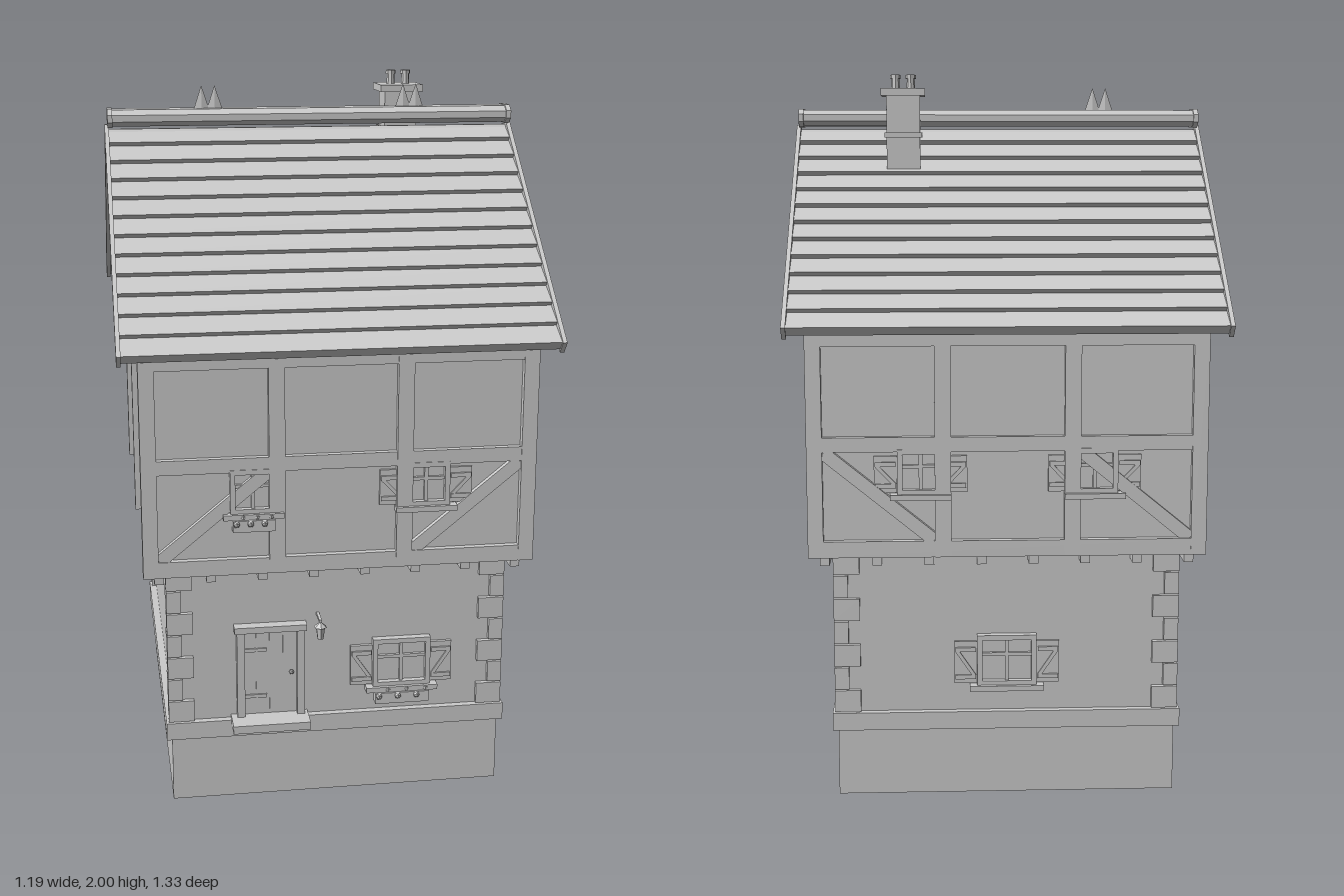
import * as THREE from 'three';

const grey = new THREE.MeshStandardMaterial({ color: 0xcccccc, flatShading: true });

function add(parent, name, geometry, x = 0, y = 0, z = 0) {
  const m = new THREE.Mesh(geometry, grey);
  m.name = name;
  m.position.set(x, y, z);
  parent.add(m);
  return m;
}

// Box given by its minimum and maximum on each axis
function span(parent, name, x0, x1, y0, y1, z0, z1) {
  return add(parent, name, new THREE.BoxGeometry(x1 - x0, y1 - y0, z1 - z0),
    (x0 + x1) / 2, (y0 + y1) / 2, (z0 + z1) / 2);
}

function group(parent, name) {
  const g = new THREE.Group();
  g.name = name;
  parent.add(g);
  return g;
}

// Extrudes a (z, y) profile along x, centred on x
function alongX(points, length) {
  const shape = new THREE.Shape(points.map(p => new THREE.Vector2(p[0], p[1])));
  const geo = new THREE.ExtrudeGeometry(shape, { depth: length, bevelEnabled: false });
  return geo.translate(0, 0, -length / 2).rotateY(-Math.PI / 2);
}

// Diagonal bar in the xy plane
function bar(parent, name, x0, y0, x1, y1, width, depth, z) {
  const m = add(parent, name, new THREE.BoxGeometry(Math.hypot(x1 - x0, y1 - y0), width, depth),
    (x0 + x1) / 2, (y0 + y1) / 2, z);
  m.rotation.z = Math.atan2(y1 - y0, x1 - x0);
  return m;
}

// Window centred on x, bottom at y, on a wall at z
function makeWindow(parent, x, y, w, h, z, { shutters = true, flowers = false } = {}) {
  const g = group(parent, 'window');
  g.position.set(x, y, z);
  const f = 0.014, a = w / 2;
  for (const s of [-1, 1]) {
    add(g, 'windowJamb', new THREE.BoxGeometry(f, h, 0.022), s * (a - f / 2), h / 2, 0.011);
    add(g, 'windowRail', new THREE.BoxGeometry(w, f, 0.022), 0, h / 2 + s * (h / 2 - f / 2), 0.011);
  }
  span(g, 'windowPane', -a + f, a - f, f, h - f, -0.005, 0.005);
  span(g, 'mullion', -0.005, 0.005, f, h - f, 0, 0.014);
  span(g, 'transom', -a + f, a - f, h * 0.58, h * 0.58 + 0.009, 0, 0.014);
  span(g, 'sill', -a - 0.02, a + 0.02, -0.013, 0.002, -0.005, 0.032);
  if (shutters) for (const s of [-1, 1]) {
    const c = s * (a + 0.032), b = h - 0.02;
    const sh = group(g, 'shutter');
    span(sh, 'shutterBoard', c - 0.031, c + 0.031, 0.005, b, 0, 0.01);
    for (const yy of [0.018, b - 0.028]) span(sh, 'shutterBatten', c - 0.028, c + 0.028, yy, yy + 0.012, 0.01, 0.016);
    bar(sh, 'shutterBrace', c - s * 0.024, 0.028, c + s * 0.024, b - 0.026, 0.01, 0.005, 0.012);
  }
  if (flowers) {
    const fb = group(g, 'flowerBox');
    span(fb, 'planter', -a + 0.005, a - 0.005, -0.046, -0.014, 0.006, 0.036);
    for (let i = 0; i < 6; i++) {
      const fx = (i - 2.5) * (w - 0.03) / 5;
      add(fb, 'flower', new THREE.IcosahedronGeometry(0.01, 0), fx, i % 2 ? -0.006 : -0.022, i % 2 ? 0.026 : 0.038);
    }
  }
}

// Timber framing and jetty joists of a long wall; d gives the slant of the braces
function makeFrame(parent, d) {
  const g = group(parent, 'timberFrame');
  span(g, 'bottomRail', -0.54, 0.54, 0.7, 0.745, 0.56, 0.604);
  span(g, 'middleRail', -0.5, 0.5, 0.99, 1.03, 0.57, 0.603);
  span(g, 'topRail', -0.54, 0.54, 1.275, 1.32, 0.56, 0.604);
  for (const x of [-0.175, 0.175]) span(g, 'post', x - 0.022, x + 0.022, 0.7, 1.3, 0.57, 0.605);
  for (const c of [-0.347, 0.347])
    bar(g, 'brace', c - 0.148, 0.867 - d * 0.121, c + 0.148, 0.867 + d * 0.121, 0.036, 0.026, 0.588);
  for (let i = 0; i < 8; i++) {
    const x = -0.497 + i * 0.142;
    span(g, 'joistEnd', x - 0.013, x + 0.013, 0.672, 0.702, 0.5, 0.578);
  }
}

export function createModel() {
  const house = new THREE.Group();
  house.name = 'house';

  // Masonry base and ground storey
  span(house, 'plinth', -0.47, 0.47, 0, 0.19, -0.535, 0.535);
  span(house, 'plinthBand', -0.485, 0.485, 0.19, 0.24, -0.547, 0.547);
  span(house, 'groundWalls', -0.463, 0.463, 0.24, 0.7, -0.527, 0.527);

  // Alternating corner stones
  const step = 0.46 / 7;
  for (const sx of [-1, 1]) for (const sz of [-1, 1]) for (let i = 0; i < 7; i++) {
    const w = i % 2 ? 0.04 : 0.072, d = i % 2 ? 0.072 : 0.04;
    add(house, 'cornerStone', new THREE.BoxGeometry(w, step - 0.004, d),
      sx * (0.478 - w / 2), 0.24 + (i + 0.5) * step, sz * (0.541 - d / 2));
  }

  // Upper storey with corner and gable posts
  span(house, 'upperWalls', -0.522, 0.522, 0.702, 1.29, -0.585, 0.585);
  for (const sx of [-1, 1]) {
    for (const sz of [-1, 1])
      add(house, 'cornerPost', new THREE.BoxGeometry(0.042, 0.6, 0.046), sx * 0.519, 1.0, sz * 0.582);
    add(house, 'gablePost', new THREE.BoxGeometry(0.03, 0.575, 0.036), sx * 0.525, 0.9875, 0);
  }
  add(house, 'gable', alongX([[-0.6, 1.275], [0.6, 1.275], [0.6, 1.32], [0.575, 1.32],
    [0, 1.805], [-0.575, 1.32], [-0.6, 1.32]], 1.07));

  // Front and back walls
  const front = group(house, 'frontWall');
  const back = group(house, 'backWall');
  back.rotation.y = Math.PI;
  makeFrame(front, 1);
  makeFrame(back, -1);
  makeWindow(front, -0.24, 0.872, 0.125, 0.125, 0.583, { shutters: false, flowers: true });
  makeWindow(front, 0.235, 0.872, 0.13, 0.125, 0.583);
  makeWindow(front, 0.185, 0.315, 0.165, 0.145, 0.527, { flowers: true });
  makeWindow(back, -0.235, 0.872, 0.125, 0.125, 0.583);
  makeWindow(back, 0.235, 0.872, 0.125, 0.125, 0.583);
  makeWindow(back, 0, 0.315, 0.165, 0.145, 0.527);

  // Door with frame, step and handle
  const door = group(front, 'door');
  span(door, 'doorLeaf', -0.265, -0.115, 0.25, 0.505, 0.52, 0.534);
  for (const x of [-0.285, -0.115]) span(door, 'doorJamb', x, x + 0.022, 0.245, 0.508, 0.52, 0.552);
  span(door, 'doorLintel', -0.292, -0.088, 0.505, 0.523, 0.52, 0.56);
  span(door, 'doorStep', -0.302, -0.084, 0.226, 0.249, 0.52, 0.608);
  for (const x of [-0.228, -0.19, -0.152]) span(door, 'doorGroove', x - 0.002, x + 0.002, 0.255, 0.5, 0.53, 0.536);
  for (const y of [0.3, 0.44]) span(door, 'doorHinge', -0.262, -0.2, y, y + 0.01, 0.53, 0.539);
  add(door, 'doorHandle', new THREE.IcosahedronGeometry(0.008, 0), -0.13, 0.375, 0.542);

  // Wall lantern
  const lamp = group(front, 'lantern');
  span(lamp, 'lanternArm', -0.058, -0.05, 0.538, 0.546, 0.525, 0.585);
  add(lamp, 'lanternBody', new THREE.CylinderGeometry(0.014, 0.009, 0.036, 6), -0.054, 0.507, 0.582);
  add(lamp, 'lanternCap', new THREE.ConeGeometry(0.019, 0.016, 6), -0.054, 0.532, 0.582);

  // Roof slopes: stepped rows of tiles on a thin slab, with verge boards
  const roof = group(house, 'roof');
  const a = Math.atan2(0.525, 0.655), L = 0.84, rows = 12;
  const at = (s, n) => [Math.cos(a) * s + Math.sin(a) * n, 1.852 - Math.sin(a) * s + Math.cos(a) * n];
  const tiles = [at(0, -0.022)];
  tiles.push(at(L, -0.022));
  for (let i = rows; i > 0; i--) tiles.push(at(i * L / rows, 0.007), at((i - 1) * L / rows, -0.007));
  const verge = [at(0, -0.032), at(L + 0.004, -0.032), at(L + 0.004, 0.01), at(0, 0.01)];
  for (const turn of [0, Math.PI]) {
    const slope = group(roof, 'roofSlope');
    slope.rotation.y = turn;
    add(slope, 'tiles', alongX(tiles, 1.17));
    for (const s of [-1, 1]) add(slope, 'vergeBoard', alongX(verge, 0.012), s * 0.589);
  }

  // Ridge cap with end collars and paired spikes
  const ridge = k => [[-0.03, -0.025], [0.03, -0.025], [0.052, -0.01], [0.052, 0.01],
    [0.03, 0.025], [-0.03, 0.025], [-0.052, 0.01], [-0.052, -0.01]].map(p => [p[0] * k, p[1] * k]);
  add(roof, 'ridgeCap', alongX(ridge(0.94), 1.16), 0, 1.879, 0);
  for (const s of [-1, 1]) add(roof, 'ridgeCollar', alongX(ridge(1.06), 0.014), s * 0.58, 1.879, 0);
  for (const c of [-0.297, 0.293]) for (const s of [-1, 1]) {
    const spike = add(roof, 'ridgeSpike', new THREE.ConeGeometry(0.022, 0.066, 4), c + s * 0.019, 1.934, 0);
    spike.scale.z = 0.22;
  }

  // Chimney with two pots
  const chimney = group(house, 'chimney');
  span(chimney, 'chimneyStack', 0.232, 0.328, 1.68, 1.945, -0.156, -0.06);
  span(chimney, 'chimneyBand', 0.226, 0.334, 1.822, 1.836, -0.162, -0.054);
  span(chimney, 'chimneyCap', 0.217, 0.343, 1.94, 1.96, -0.171, -0.045);
  for (const x of [0.258, 0.302]) {
    const pot = new THREE.LatheGeometry([[0.013, 0], [0.011, 0.034], [0.015, 0.034], [0.015, 0.045],
      [0.009, 0.045], [0.009, 0.015], [0, 0.015]].map(p => new THREE.Vector2(p[0], p[1])), 8);
    add(chimney, 'chimneyPot', pot, x, 1.955, -0.108);
  }
  return house;
}
